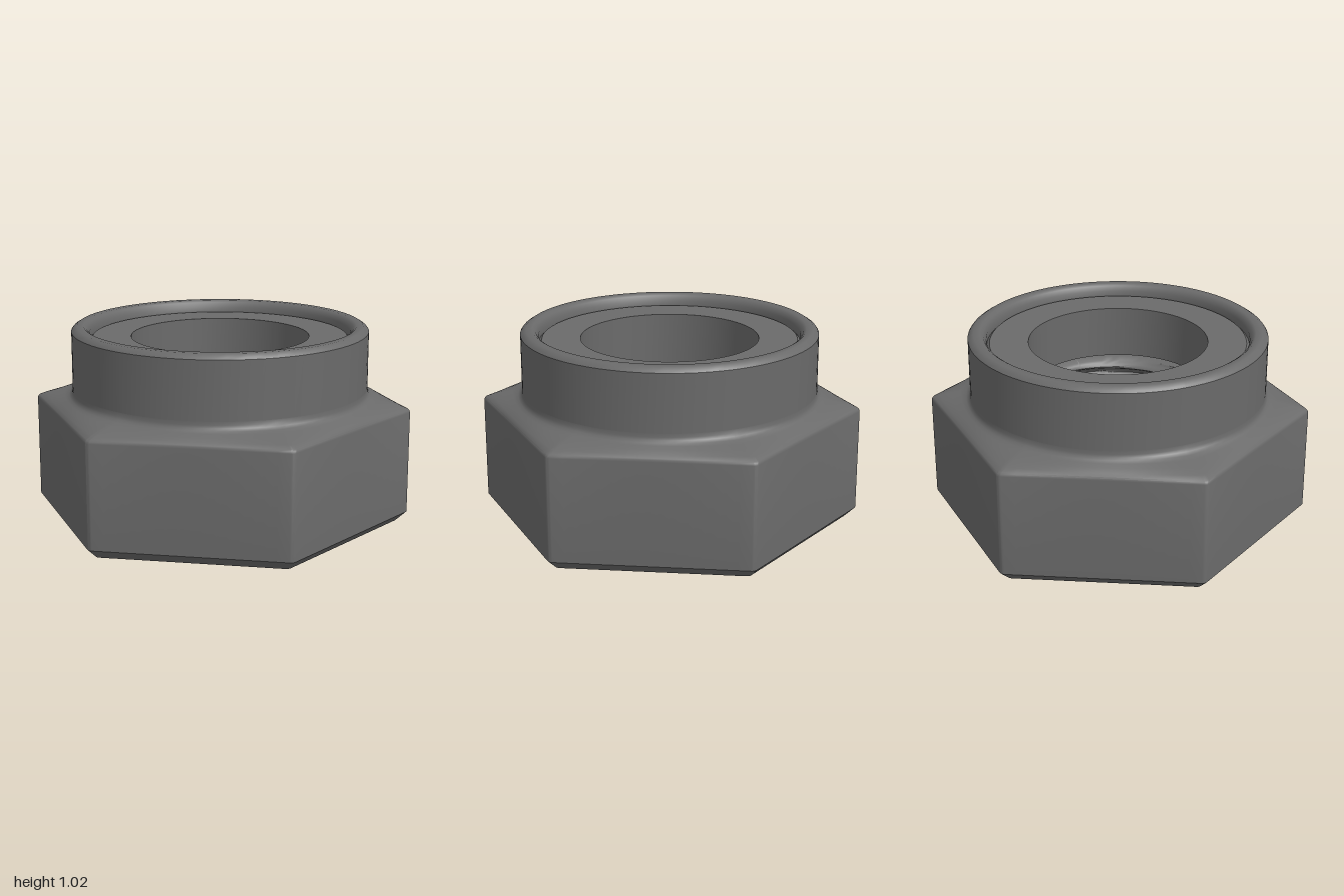
import * as THREE from 'three';
import { toCreasedNormals } from 'three/addons/utils/BufferGeometryUtils.js';

// Outline of a hexagon with slightly rounded corners pointing along z: [angle, radius]
function hexOutline(cornerRadius = 0.03, arcSteps = 4, flatSteps = 16) {
  const corners = [];
  for (let k = 0; k < 6; k++) {
    const mid = (k * Math.PI) / 3;
    for (let i = 0; i <= arcSteps; i++) {
      const a = mid + (i / arcSteps - 0.5) * (Math.PI / 3);
      const c = 1 - cornerRadius;
      corners.push([
        c * Math.sin(mid) + cornerRadius * Math.sin(a),
        c * Math.cos(mid) + cornerRadius * Math.cos(a),
      ]);
    }
  }
  const out = [];
  corners.forEach((p, i) => {
    const q = corners[(i + 1) % corners.length];
    const steps = i % (arcSteps + 1) === arcSteps ? flatSteps : 1;
    for (let s = 0; s < steps; s++) {
      const x = p[0] + ((q[0] - p[0]) * s) / steps;
      const z = p[1] + ((q[1] - p[1]) * s) / steps;
      out.push([Math.atan2(x, z), Math.hypot(x, z)]);
    }
  });
  return out;
}

const outline = hexOutline();

// Skin a list of rings; each ring is { y, r(angle, hexRadius) }
function loft(rings, crease) {
  const n = outline.length;
  const pos = [];
  const idx = [];
  rings.forEach(({ y, r }) => {
    for (const [a, hex] of outline) {
      const rad = r(a, hex);
      pos.push(rad * Math.sin(a), y, rad * Math.cos(a));
    }
  });
  for (let i = 0; i < rings.length - 1; i++) {
    for (let j = 0; j < n; j++) {
      const a = i * n + j;
      const b = i * n + ((j + 1) % n);
      idx.push(a, b, b + n, a, b + n, a + n);
    }
  }
  const geo = new THREE.BufferGeometry();
  geo.setAttribute('position', new THREE.Float32BufferAttribute(pos, 3));
  geo.setIndex(idx);
  return toCreasedNormals(geo, crease);
}

const circle = (r, y) => ({ y, r: () => r });
const hexagon = (scale, y) => ({ y, r: (a, hex) => hex * scale });

export function createModel() {
  const steel = new THREE.MeshStandardMaterial({ color: 0x6a6a6a });
  steel.name = 'dark grey steel';
  const group = new THREE.Group();
  group.name = 'lockNut';
  const add = (name, geo) => {
    const mesh = new THREE.Mesh(geo, steel);
    mesh.name = name;
    group.add(mesh);
  };

  const collarR = 0.775;

  // Hexagonal body with a chamfered foot, blending into the round collar
  const blend = [
    [0, 0.59], [0.015, 0.6], [0.05, 0.607], [0.2, 0.62], [0.45, 0.636],
    [0.7, 0.648], [0.86, 0.657], [0.95, 0.668], [0.99, 0.682], [1, 0.7],
  ].map(([t, y]) => ({ y, r: (a, hex) => hex + (collarR - hex) * t }));
  add('hexBody', loft([
    circle(0.57, 0), hexagon(0.945, 0), hexagon(1, 0.05), ...blend,
  ], 0.6));

  // Collar wall with a chamfered rim folded in over the insert
  add('collar', loft([
    circle(collarR, 0.7), circle(collarR, 1.0), circle(0.768, 1.01), circle(0.745, 1.025),
    circle(0.71, 1.025), circle(0.695, 1.015), circle(0.68, 0.99), circle(0.68, 0.95),
  ], 0.6));

  // Locking ring seated inside the collar
  add('lockingInsert', loft([
    circle(0.681, 0.95), circle(0.665, 0.965), circle(0.465, 0.965),
    circle(0.465, 0.69), circle(0.6, 0.69),
  ], 0.5));

  // Threaded bore, running down from under the insert to the entry chamfer
  const pitch = 0.13;
  const top = 0.64;
  const bottom = 0.07;
  const steps = 58;
  const thread = [];
  for (let i = 0; i <= steps; i++) {
    const y = top + ((bottom - top) * i) / steps;
    const fade = Math.min(1, (top - y) / 0.04, (y - bottom) / 0.04);
    thread.push({
      y,
      r: (a) => 0.51 + 0.04 * fade * Math.cos((2 * Math.PI * y) / pitch - a),
    });
  }
  add('threadedBore', loft([
    circle(0.6, 0.69), circle(0.6, 0.67), circle(0.55, 0.65),
    ...thread, circle(0.57, 0),
  ], 0.8));

  return group;
}
